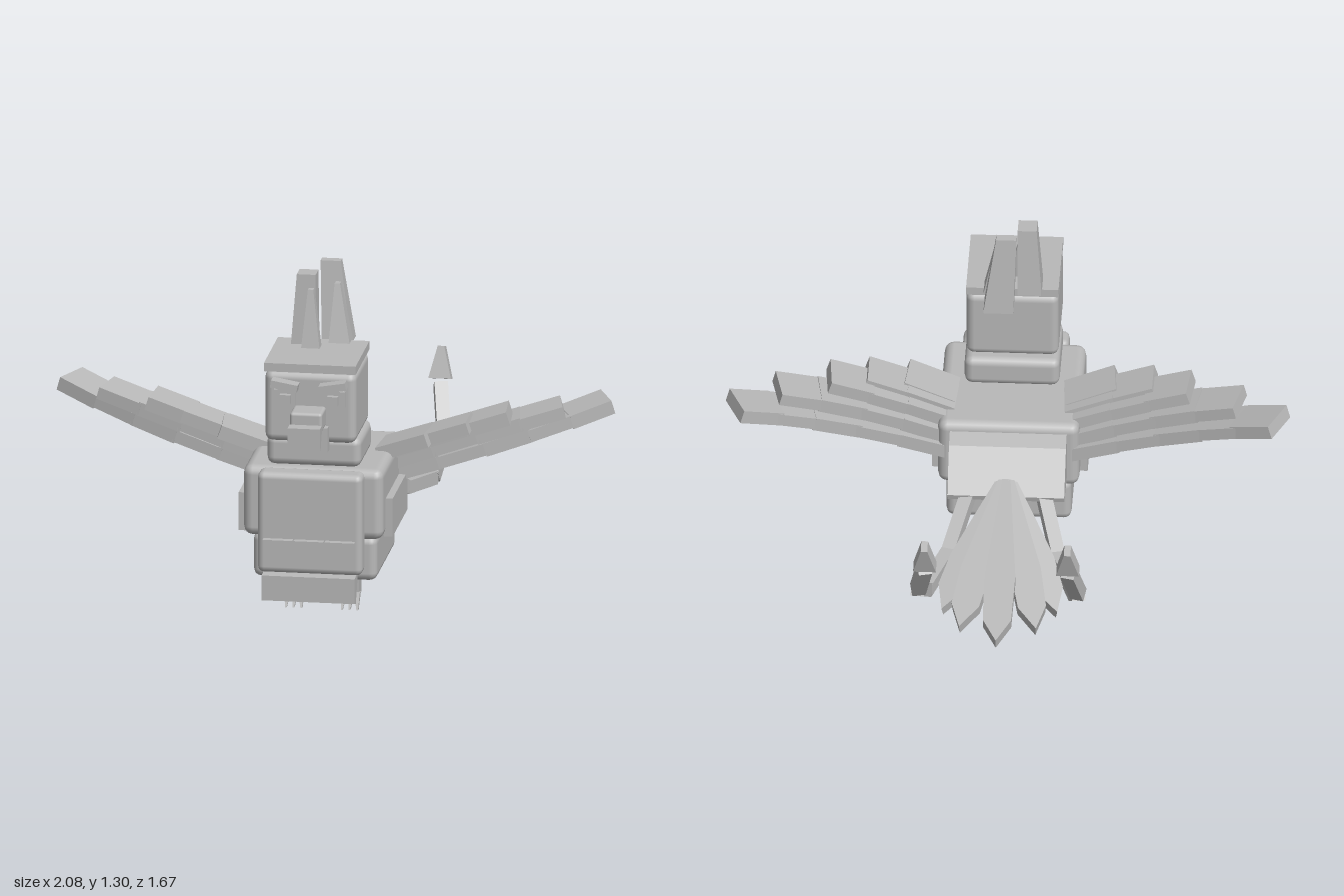
import * as THREE from 'three';
import { RoundedBoxGeometry } from 'three/addons/geometries/RoundedBoxGeometry.js';

const V = (x, y, z) => new THREE.Vector3(x, y, z);

export function createModel() {
  const root = new THREE.Group();
  root.name = 'bird';
  const grey = new THREE.MeshStandardMaterial({ color: 0xb8b8b8 });
  grey.name = 'grey';

  const add = (name, geo, pos = V(0, 0, 0)) => {
    const m = new THREE.Mesh(geo, grey);
    m.name = name;
    m.position.copy(pos);
    root.add(m);
    return m;
  };
  // box given by its extents, optionally with a rounded rim r
  const box = (name, x0, x1, y0, y1, z0, z1, r = 0) => {
    const s = [x1 - x0, y1 - y0, z1 - z0];
    const geo = r ? new RoundedBoxGeometry(...s, 2, r) : new THREE.BoxGeometry(...s);
    return add(name, geo, V((x0 + x1) / 2, (y0 + y1) / 2, (z0 + z1) / 2));
  };
  // box running from a to b
  const bar = (name, a, b, w, t) => {
    const geo = new THREE.BoxGeometry(w, t, a.distanceTo(b));
    const m = add(name, geo, a.clone().add(b).multiplyScalar(0.5));
    m.lookAt(b);
    return m;
  };
  const plate = (pts, depth) => {
    const shape = new THREE.Shape(pts.map(p => new THREE.Vector2(...p)));
    return new THREE.ExtrudeGeometry(shape, { depth, bevelEnabled: false }).translate(0, 0, -depth / 2);
  };
  // side profile of [z, y] points, extruded across x
  const profile = (name, pts, width) => add(name, plate(pts, width).rotateY(-Math.PI / 2));
  // four-sided spike: base and top rectangles [x, y, z, width, depth]
  const spike = (name, b, t) => {
    const geo = new THREE.BoxGeometry(1, 1, 1);
    const p = geo.attributes.position;
    for (let i = 0; i < p.count; i++) {
      const e = p.getY(i) > 0 ? t : b;
      p.setXYZ(i, e[0] + p.getX(i) * e[3], e[1], e[2] + p.getZ(i) * e[4]);
    }
    const flat = geo.toNonIndexed();
    flat.computeVertexNormals();
    return add(name, flat);
  };

  // body
  box('upperBody', -0.26, 0.26, 0.33, 0.6, 0.07, 0.62, 0.035);
  box('belly', -0.23, 0.23, 0.16, 0.33, 0.1, 0.57, 0.03);
  box('chestPlate', -0.195, 0.195, 0.215, 0.6, 0.61, 0.7, 0.025);
  box('neck', -0.175, 0.175, 0.6, 0.715, 0.32, 0.6, 0.03);
  profile('lowerFlap', [[0.645, 0.222], [0.7, 0.112], [0.73, 0.12], [0.73, 0.215]], 0.345);
  for (const x of [-0.115, 0, 0.115]) {
    add('chestTriangle', plate([[-0.055, 0.35], [0, 0.25], [0.055, 0.35]], 0.025), V(x, 0, 0.713));
  }

  // head and face
  box('head', -0.17, 0.17, 0.715, 0.985, 0.35, 0.685, 0.03);
  box('headTop', -0.17, 0.17, 0.985, 1.017, 0.35, 0.69);
  box('beak', -0.06, 0.06, 0.785, 0.86, 0.68, 0.79, 0.012);
  profile('beakTip', [[0.79, 0.815], [0.79, 0.785], [0.82, 0.73], [0.84, 0.73], [0.84, 0.815]], 0.12);
  box('lowerJaw', -0.07, 0.07, 0.69, 0.785, 0.67, 0.72);

  // crest
  spike('crestSpike', [-0.065, 1.01, 0.375, 0.09, 0.11], [-0.055, 1.28, 0.38, 0.07, 0.07]);
  spike('crestSpike', [0.045, 0.995, 0.275, 0.11, 0.11], [0.017, 1.3, 0.272, 0.075, 0.035]);
  spike('crestSpike', [-0.03, 1.01, 0.455, 0.07, 0.05], [-0.035, 1.23, 0.425, 0.02, 0.03]);
  spike('crestSpike', [0.065, 1.01, 0.36, 0.08, 0.08], [0.05, 1.23, 0.33, 0.02, 0.03]);

  // tail base
  profile('tailBase', [[0.08, 0.57], [0.01, 0.545], [-0.115, 0.41], [-0.11, 0.39], [0.08, 0.37]], 0.43);

  // fan of tail feathers: tip x, tip y, tip z
  const feathers = [[0, 0.25, -0.83], [-0.14, 0.22, -0.7], [0.14, 0.22, -0.7], [-0.21, 0.2, -0.56], [0.21, 0.2, -0.56]];
  for (const [x, y, z] of feathers) {
    const from = V(x * 0.08, 0.44, -0.06), to = V(x, y, z), L = from.distanceTo(to);
    const geo = plate([[-0.015, 0], [0.015, 0], [0.057, L * 0.6], [0.052, L - 0.1], [0, L], [-0.052, L - 0.1], [-0.057, L * 0.6]], 0.04);
    add('tailFeather', geo.rotateX(Math.PI / 2), from).lookAt(to);
  }

  // wing strands: root, middle, tip, number of blocks
  const strands = [
    [[0.23, 0.47, 0.15], [0.65, 0.6, 0.1], [1, 0.715, -0.02], 5],
    [[0.23, 0.52, 0.17], [0.55, 0.63, 0.15], [0.85, 0.72, 0.095], 4],
    [[0.23, 0.57, 0.2], [0.45, 0.645, 0.2], [0.665, 0.715, 0.185], 3],
    [[0.22, 0.585, 0.24], [0.38, 0.64, 0.25], [0.53, 0.69, 0.25], 2],
    [[0.22, 0.59, 0.28], [0.31, 0.62, 0.29], [0.39, 0.65, 0.295], 1],
  ];

  for (const s of [-1, 1]) {
    const at = (x, y, z) => V(s * x, y, z);

    box('sidePanel', s * 0.27 - 0.016, s * 0.27 + 0.016, 0.33, 0.475, 0.18, 0.545);

    // eye frame, pupil and slanted brow
    const frame = plate([[-0.04, -0.03], [0.04, -0.03], [0.04, 0.03], [-0.04, 0.03]], 0.02);
    add('eyeFrame', frame, at(0.092, 0.89, 0.69));
    add('pupil', new THREE.BoxGeometry(0.04, 0.035, 0.03), at(0.088, 0.888, 0.705));
    add('brow', new THREE.BoxGeometry(0.1, 0.028, 0.05), at(0.09, 0.942, 0.71)).rotation.z = s * 0.17;

    // wing
    for (const [a, m, b, n] of strands) {
      const curve = new THREE.QuadraticBezierCurve3(at(...a),
        at(...m.map((v, i) => 2 * v - (a[i] + b[i]) / 2)), at(...b));
      for (let i = 0; i < n; i++) {
        const p = curve.getPoint(i / n), q = curve.getPoint((i + 1) / n);
        const d = q.clone().sub(p).normalize();
        bar('wingBlock', p.addScaledVector(d, -0.015), q, 0.155, 0.052 - 0.006 * (i % 2));
      }
    }

    // curled tail tendril with an arrow tip
    const path = [[0.13, 0.41, -0.05], [0.2, 0.275, -0.29], [0.275, 0.255, -0.5], [0.295, 0.36, -0.65], [0.265, 0.535, -0.765]];
    for (let i = 0; i < 4; i++) bar('tendril', at(...path[i]), at(...path[i + 1]), 0.05, 0.05);
    const tip = add('tendrilTip', plate([[-0.042, 0], [0.042, 0], [0.012, 0.12], [-0.012, 0.12]], 0.05), at(0.263, 0.55, -0.775));
    tip.rotation.x = -0.3;

    // leg with three claws
    box('leg', s * 0.104 - 0.03, s * 0.104 + 0.03, 0.045, 0.17, 0.305, 0.365);
    for (const dx of [-0.024, 0, 0.024]) {
      spike('claw', [s * 0.104 + dx * 1.2, 0, 0.395, 0.006, 0.02], [s * 0.104 + dx, 0.058, 0.365, 0.021, 0.03]);
    }
  }
  return root;
}
